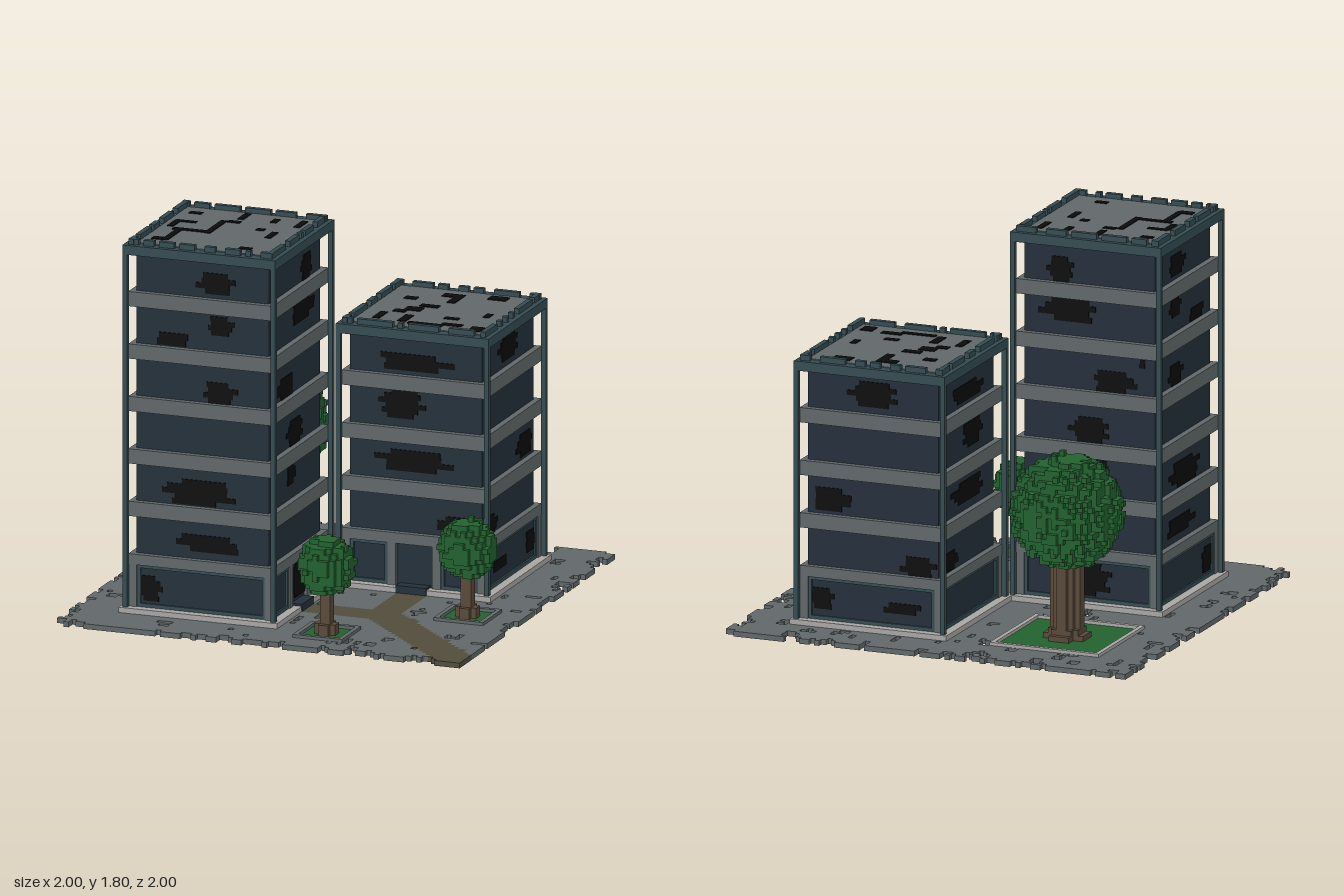
import * as THREE from 'three';

const V = 0.025; // size of one building block
const material = (name, color) => {
  const m = new THREE.MeshStandardMaterial({ color });
  m.name = name;
  return m;
};

// Repeatable random numbers
function seeded(seed) {
  return () => {
    seed = (seed * 1664525 + 1013904223) >>> 0;
    return seed / 4294967296;
  };
}

// Box given by its limits
function box(parent, name, mat, x0, x1, y0, y1, z0, z1) {
  const mesh = new THREE.Mesh(new THREE.BoxGeometry(x1 - x0, y1 - y0, z1 - z0), mat);
  mesh.position.set((x0 + x1) / 2, (y0 + y1) / 2, (z0 + z1) / 2);
  mesh.name = name;
  parent.add(mesh);
}

// Six face directions with the two in-plane axes (u x v = normal)
const FACES = [
  [[1, 0, 0], [0, 1, 0], [0, 0, 1]], [[-1, 0, 0], [0, 0, 1], [0, 1, 0]],
  [[0, 1, 0], [0, 0, 1], [1, 0, 0]], [[0, -1, 0], [1, 0, 0], [0, 0, 1]],
  [[0, 0, 1], [1, 0, 0], [0, 1, 0]], [[0, 0, -1], [0, 1, 0], [1, 0, 0]],
];

// Blocky mesh: draws the outer faces of cells where mine() holds, hidden against solid()
function blocks(parent, name, mat, lo, hi, mine, solid = mine) {
  const pos = [], nor = [];
  for (let i = lo[0]; i < hi[0]; i++) for (let j = lo[1]; j < hi[1]; j++) for (let k = lo[2]; k < hi[2]; k++) {
    if (!mine(i, j, k)) continue;
    for (const [n, u, v] of FACES) {
      if (solid(i + n[0], j + n[1], k + n[2])) continue;
      for (const [a, b] of [[0, 0], [1, 0], [1, 1], [0, 0], [1, 1], [0, 1]]) {
        [i, j, k].forEach((c, d) => pos.push((c + Math.max(n[d], 0) + a * u[d] + b * v[d]) * V));
        nor.push(...n);
      }
    }
  }
  const g = new THREE.BufferGeometry();
  g.setAttribute('position', new THREE.Float32BufferAttribute(pos, 3));
  g.setAttribute('normal', new THREE.Float32BufferAttribute(nor, 3));
  const mesh = new THREE.Mesh(g, mat);
  mesh.name = name;
  parent.add(mesh);
}

export function createModel() {
  const model = new THREE.Group();
  model.name = 'ruinedTowerBlock';
  const M = {
    stone: material('grey concrete', 0x62696b),
    teal: material('teal frame', 0x344c52),
    glass: material('dark glass', 0x24303b),
    hole: material('black hole', 0x0c0c0d),
    curb: material('pale curb', 0xaaa8a5),
    path: material('earth path', 0x524d3c),
    leaf: material('leaf green', 0x22622f),
    bark: material('brown bark', 0x5a4a3a),
  };

  // Ground plate: crumbled paving with an earth path and three lawns
  const plots = [[-0.5, -0.5, 0.25], [0.25, 0.75, 0.1], [0.75, 0.25, 0.1]];
  const towers = [[-0.38, 0.375], [0.372, -0.395]];
  const near = (x, z, cx, cz, r) => Math.max(Math.abs(x - cx), Math.abs(z - cz)) < r;
  const kind = (i, k) => {
    const x = (i + 0.5) * V, z = (k + 0.5) * V;
    if (plots.some(([a, b, r]) => near(x, z, a, b, r))) return 'leaf';
    const across = x > -0.02 && x < 0.42 && z > 0.3 && z < 0.45;
    const down = x > 0.3 && x < 0.45 && z > -0.02 && z < 0.42;
    const diagonal = x + z > 0.75 && x - z < 0.15 && x - z > -0.12;
    return across || down || diagonal ? 'path' : 'stone';
  };
  const rnd = seeded(11), gone = new Set();
  for (let n = 0; n < 260; n++) {
    let i = Math.floor(rnd() * 80) - 40, k = Math.floor(rnd() * 80) - 40;
    if (n < 90) { // extra wear along the rim
      const e = rnd() < 0.5 ? -40 : 39;
      if (n % 2) i = e; else k = e;
    }
    for (let s = 1 + Math.floor(rnd() * 5); s > 0; s--) {
      const x = (i + 0.5) * V, z = (k + 0.5) * V;
      const kept = towers.some(([a, b]) => near(x, z, a, b, 0.4)) || plots.some(([a, b, r]) => near(x, z, a, b, r + 0.03));
      if (!kept && kind(i, k) === 'stone') gone.add(i + ',' + k);
      if (rnd() < 0.5) i += rnd() < 0.5 ? 1 : -1; else k += rnd() < 0.5 ? 1 : -1;
    }
  }
  const ground = (i, j, k) => j === 0 && i >= -40 && i < 40 && k >= -40 && k < 40 && !gone.has(i + ',' + k);
  for (const [name, key] of [['paving', 'stone'], ['earthPath', 'path'], ['lawn', 'leaf']]) {
    blocks(model, name, M[key], [-40, 0, -40], [40, 1, 40], (i, j, k) => ground(i, j, k) && kind(i, k) === key, ground);
  }

  // Low borders around the lawns
  for (const [x, z, r] of plots) {
    const o = r + 0.022;
    for (const s of [-1, 1]) {
      const a = Math.min(s * r, s * o), b = Math.max(s * r, s * o);
      box(model, 'lawnBorder', r > 0.2 ? M.curb : M.stone, x - o, x + o, V, 0.04, z + a, z + b);
      box(model, 'lawnBorder', r > 0.2 ? M.curb : M.stone, x + a, x + b, V, 0.04, z - r, z + r);
    }
  }

  // Trees: blocky crown with a ragged surface on a trunk with flared roots
  function tree(name, x, z, cy, r, trunk, seed) {
    const g = new THREE.Group(), n = Math.ceil(r / V) + 1, c = Math.round(cy / V);
    g.name = name;
    const rag = seeded(seed), size = 2 * n, wear = Array.from({ length: size ** 3 }, () => rag());
    const crown = (i, j, k) => {
      if (i < -n || i >= n || k < -n || k >= n || j < c - n || j >= c + n) return false;
      const w = wear[((i + n) * size + j - c + n) * size + k + n];
      return Math.hypot(i + 0.5, (j - c + 0.5) * 0.94, k + 0.5) * V < r * (1.02 - 0.12 * w);
    };
    blocks(g, 'crown', M.leaf, [-n, c - n, -n], [n, c + n, n], crown);
    const wood = (i, j, k) => {
      if (j < 1 || j > c) return false;
      const a = Math.abs(i + 0.5), b = Math.abs(k + 0.5);
      const root = Math.min(a, b) < trunk / V * 0.6 && Math.max(a, b) * V < trunk * (2.1 - 0.4 * j);
      return Math.hypot(a, b) * V < trunk * 1.1 || root;
    };
    blocks(g, 'trunk', M.bark, [-n, 1, -n], [n, c, n], wood);
    g.position.set(x, 0, z);
    model.add(g);
  }
  tree('largeTree', -0.5, -0.5, 0.625, 0.255, 0.065, 5);
  tree('frontTree', 0.25, 0.75, 0.34, 0.13, 0.034, 6);
  tree('sideTree', 0.75, 0.25, 0.34, 0.13, 0.034, 7);

  // Broken patch in a window: stacked strips, [centre, height, half width, half height]
  function patch(parent, [u, y, w, h], z) {
    const rows = Math.max(2, Math.round(2 * h / V)), step = 2 * h / rows;
    for (let r = 0; r < rows; r++) {
      const t = (r + 0.5) / rows * 2 - 1, half = w * Math.sqrt(1 - t * t * 0.85);
      const shift = Math.sin(r * 2.3 + u * 40) * w * 0.2, limit = 0.32;
      box(parent, 'brokenPane', M.hole, Math.max(-limit, u + shift - half), Math.min(limit, u + shift + half),
        y - h + r * step, y - h + (r + 1) * step, z, z + 0.004);
    }
  }

  // One tower: sides are listed front, left, back, right; doorSide has the entrance
  function tower(name, [cx, cz], top, floors, doorSide, damage, cracks, seed) {
    const g = new THREE.Group();
    g.name = name;
    g.position.set(cx, 0, cz);
    model.add(g);
    const square = (part, mat, r, y0, y1) => box(g, part, mat, -r, r, y0, y1, -r, r);
    square('plinth', M.curb, 0.39, 0.02, 0.05);
    square('lobby', M.glass, 0.338, 0.05, 0.25);
    square('windowCore', M.glass, 0.325, 0.25, top - 0.04);
    for (let f = 0; f < floors; f++) {
      square('floorSlab', M.stone, 0.355, f ? 0.23 + f * 0.25 : 0.25, 0.3 + f * 0.25);
    }
    square('roofRim', M.teal, 0.376, top - 0.045, top);
    box(g, 'roofDeck', M.stone, -0.325, 0.325, top, top + 0.004, -0.325, 0.325);
    for (const [x, z, w, d] of cracks) {
      box(g, 'roofCrack', M.hole, x - w / 2 - cx, x + w / 2 - cx, top + 0.004, top + 0.008, z - d / 2 - cz, z + d / 2 - cz);
    }
    const rand = seeded(seed);
    for (let s = 0; s < 4; s++) {
      const side = new THREE.Group();
      side.name = 'side';
      side.rotation.y = s * Math.PI / 2;
      g.add(side);
      // Slim corner post and lobby corner pillar
      box(side, 'cornerPost', M.teal, 0.353, 0.376, 0.05, top - 0.04, 0.353, 0.376);
      box(side, 'lobbyPillar', M.stone, 0.315, 0.353, 0.05, 0.25, 0.315, 0.353);
      // Lobby window frames, split where there is a door
      const spans = s === doorSide ? [[-0.315, -0.13], [0.13, 0.315]] : [[-0.315, 0.315]];
      for (const [a, b] of spans) {
        box(side, 'windowFrame', M.teal, a, b, 0.05, 0.067, 0.33, 0.347);
        box(side, 'windowFrame', M.teal, a, b, 0.235, 0.25, 0.33, 0.347);
        box(side, 'windowFrame', M.teal, a, a + 0.016, 0.067, 0.235, 0.33, 0.347);
        box(side, 'windowFrame', M.teal, b - 0.016, b, 0.067, 0.235, 0.33, 0.347);
      }
      if (s === doorSide) {
        for (const x of [-0.11, 0.11]) box(side, 'doorPillar', M.stone, x - 0.02, x + 0.02, 0.05, 0.25, 0.33, 0.353);
        box(side, 'doorStep', M.glass, -0.075, 0.075, V, 0.06, 0.33, 0.392);
      }
      for (const d of damage[s]) patch(side, d, d[1] < 0.25 ? 0.338 : 0.325);
      // Crumbled parapet
      for (let x = -0.355; x < 0.33;) {
        const len = Math.min(V * (1 + Math.floor(rand() * 7)), 0.355 - x);
        box(side, 'parapet', M.teal, x, x + len, top, top + 0.026, 0.328, 0.353);
        x += len + V * (rand() < 0.6 ? 1 : 2);
      }
    }
  }

  const mirror = (list) => list.map(([u, ...rest]) => [-u, ...rest]);
  const tallFront = [[0.065, 1.62, 0.085, 0.05], [0.09, 1.42, 0.06, 0.045], [-0.155, 1.335, 0.08, 0.03], [0.085, 1.1, 0.075, 0.05],
    [-0.02, 0.615, 0.16, 0.06], [0.03, 0.375, 0.15, 0.04], [-0.255, 0.14, 0.055, 0.06]];
  const tallSide = [[0.145, 1.61, 0.06, 0.06], [0.105, 1.42, 0.13, 0.055], [-0.265, 1.2, 0.015, 0.02], [-0.125, 1.1, 0.1, 0.05],
    [0, 0.86, 0.09, 0.06], [-0.045, 0.67, 0.05, 0.05], [0.02, 0.16, 0.12, 0.085]];
  const lowFront = [[-0.01, 1.11, 0.17, 0.04], [-0.07, 0.91, 0.1, 0.07], [-0.01, 0.64, 0.17, 0.05], [0.19, 0.35, 0.08, 0.045]];
  const lowSide = [[0, 1.14, 0.11, 0.06], [0.205, 0.62, 0.09, 0.055], [-0.225, 0.34, 0.08, 0.05],
    [0.255, 0.15, 0.06, 0.05], [-0.145, 0.14, 0.09, 0.025]];

  // Roof cracks: [x, z, width, depth]
  const tallCracks = [[-0.46, 0.33, 0.03, 0.22], [-0.41, 0.22, 0.06, 0.03], [-0.4, 0.12, 0.03, 0.1], [-0.55, 0.42, 0.17, 0.03],
    [-0.6, 0.52, 0.03, 0.18], [-0.63, 0.6, 0.07, 0.04], [-0.66, 0.34, 0.03, 0.1], [-0.62, 0.29, 0.1, 0.025], [-0.63, 0.14, 0.06, 0.03],
    [-0.11, 0.15, 0.03, 0.11], [-0.24, 0.14, 0.03, 0.06], [-0.25, 0.3, 0.04, 0.03], [-0.17, 0.37, 0.03, 0.1], [-0.2, 0.62, 0.06, 0.03]];
  const lowCracks = [[0.34, -0.63, 0.1, 0.05], [0.37, -0.56, 0.04, 0.09], [0.3, -0.43, 0.09, 0.04], [0.25, -0.36, 0.08, 0.06],
    [0.2, -0.31, 0.06, 0.04], [0.55, -0.66, 0.09, 0.06], [0.17, -0.53, 0.06, 0.04], [0.14, -0.21, 0.035, 0.11], [0.27, -0.2, 0.04, 0.11],
    [0.39, -0.14, 0.17, 0.03], [0.51, -0.17, 0.1, 0.035], [0.64, -0.14, 0.06, 0.07], [0.61, -0.37, 0.03, 0.06], [0.47, -0.27, 0.07, 0.03]];

  tower('tallTower', towers[0], 1.775, 6, 1, [tallFront, tallSide, mirror(tallSide), mirror(tallFront)], tallCracks, 21);
  tower('lowTower', towers[1], 1.275, 4, 0, [lowFront, lowSide, mirror(lowSide), mirror(lowFront)], lowCracks, 22);
  return model;
}
